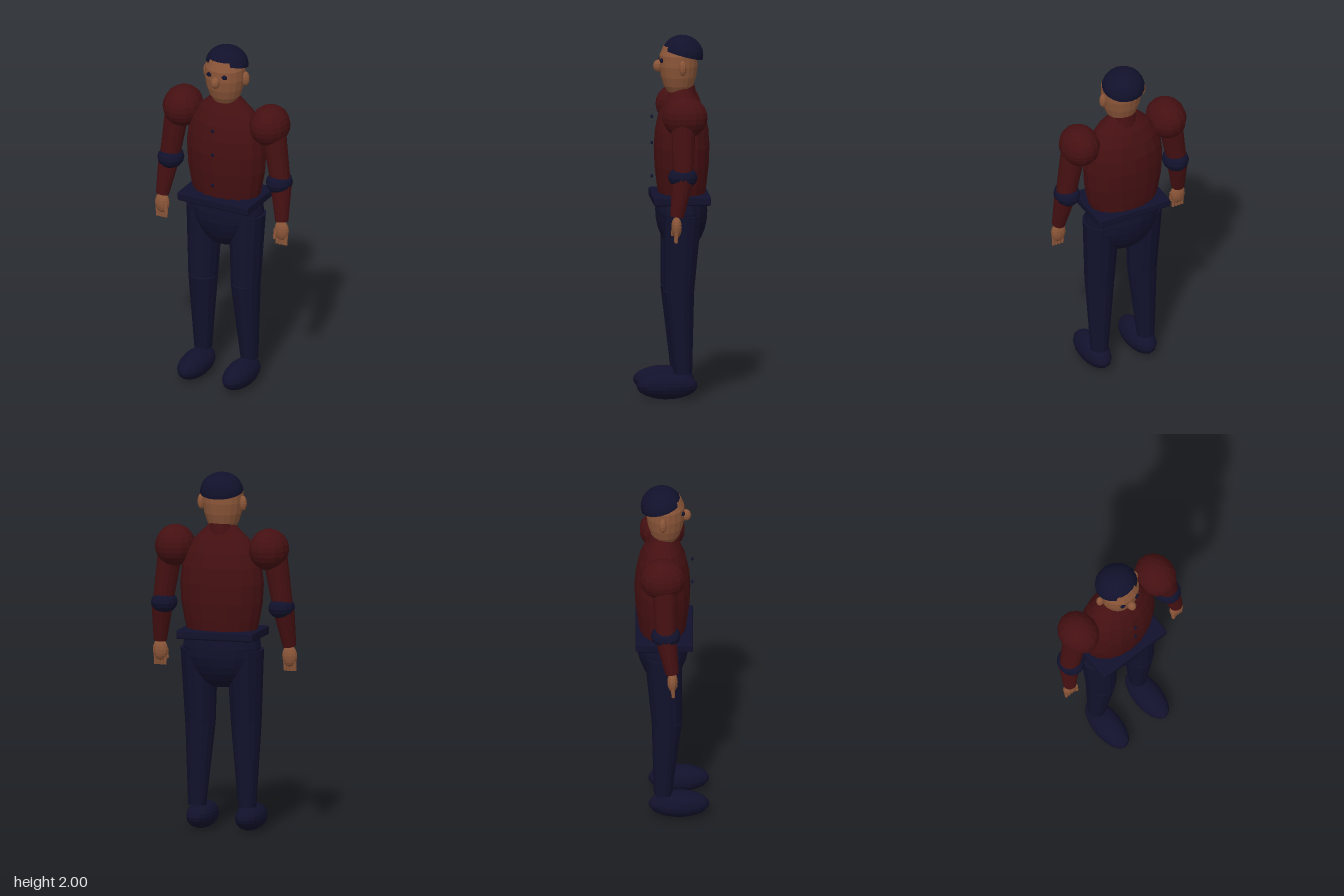
import * as THREE from 'three';
import { RoundedBoxGeometry } from 'three/addons/geometries/RoundedBoxGeometry.js';

const material = (name, color) => {
  const m = new THREE.MeshStandardMaterial({ color, flatShading: true });
  m.name = name;
  return m;
};

export function createModel() {
  const shirt = material('dark red cloth', 0x451012);
  const navy = material('navy cloth', 0x11112c);
  const skin = material('skin', 0x8a5538);
  const root = new THREE.Group();
  root.name = 'figure';

  const add = (name, geometry, mat, x = 0, y = 0, z = 0) => {
    const mesh = new THREE.Mesh(geometry, mat);
    mesh.name = name;
    mesh.position.set(x, y, z);
    root.add(mesh);
    return mesh;
  };
  const ball = (name, mat, pos, radii, w = 16, h = 12) => {
    const mesh = add(name, new THREE.SphereGeometry(1, w, h), mat, ...pos);
    mesh.scale.set(...radii);
    return mesh;
  };
  // Tapered round limb running from point a (radius ra) to point b (radius rb)
  const limb = (name, mat, a, b, ra, rb, sides = 14) => {
    const from = new THREE.Vector3(...a), to = new THREE.Vector3(...b);
    const dir = from.clone().sub(to);
    const mesh = add(name, new THREE.CylinderGeometry(ra, rb, dir.length(), sides), mat);
    mesh.position.copy(from).add(to).multiplyScalar(0.5);
    mesh.quaternion.setFromUnitVectors(new THREE.Vector3(0, 1, 0), dir.normalize());
    return mesh;
  };
  // Turned shape with an oval section; profile pairs are [radius, y]
  const turned = (name, mat, profile, z, depth) => {
    const points = profile.map(([r, y]) => new THREE.Vector2(r, y));
    const mesh = add(name, new THREE.LatheGeometry(points, 18), mat, 0, 0, z);
    mesh.scale.z = depth;
    return mesh;
  };

  // Torso, collar and buttons
  turned('torso', shirt, [[0, 1.09], [0.19, 1.09], [0.212, 1.18], [0.23, 1.28], [0.236, 1.39],
    [0.226, 1.48], [0.2, 1.56], [0.155, 1.63], [0.105, 1.68], [0.075, 1.71], [0, 1.71]], -0.052, 0.65);
  limb('collar', shirt, [0, 1.72, -0.06], [0, 1.66, -0.06], 0.064, 0.075, 16);
  limb('neck', skin, [0, 1.76, -0.055], [0, 1.66, -0.058], 0.06, 0.06, 16);
  for (const y of [1.55, 1.405, 1.22]) ball('button', navy, [0, y, 0.112], [0.01, 0.01, 0.008], 8, 6);

  // Head and hair
  turned('head', skin, [[0, 1.685], [0.066, 1.687], [0.087, 1.72], [0.104, 1.77], [0.114, 1.83],
    [0.113, 1.89], [0.09, 1.94], [0, 1.965]], -0.035, 0.93);
  ball('nose', skin, [0, 1.83, 0.077], [0.025, 0.034, 0.029], 10, 8);
  const hair = new THREE.Group();
  hair.name = 'hair';
  hair.position.set(0, 1.893, -0.058);
  hair.rotation.x = -0.27;
  const dome = new THREE.Mesh(new THREE.SphereGeometry(1, 20, 8, 0, Math.PI * 2, 0, Math.PI / 2), navy);
  dome.name = 'hairDome';
  dome.scale.set(0.12, 0.106, 0.114);
  const underside = new THREE.Mesh(new THREE.CircleGeometry(1, 20), navy);
  underside.name = 'hairUnderside';
  underside.rotation.x = Math.PI / 2;
  underside.scale.set(0.12, 0.114, 1);
  hair.add(dome, underside);
  root.add(hair);

  // Belt and hips
  add('belt', new RoundedBoxGeometry(0.44, 0.05, 0.315, 2, 0.01), navy, 0, 1.105, -0.042);
  ball('hips', navy, [0, 1.03, -0.05], [0.222, 0.23, 0.143], 18, 14);

  for (const s of [-1, 1]) {
    const side = s > 0 ? 'left' : 'right';

    // Face details
    ball(side + 'Eye', navy, [s * 0.047, 1.865, 0.061], [0.017, 0.013, 0.011], 10, 8);
    ball(side + 'Ear', skin, [s * 0.12, 1.83, -0.05], [0.022, 0.043, 0.021], 10, 8);

    // Puffed shoulder, sleeve and cuff
    ball(side + 'Shoulder', shirt, [s * 0.27, 1.58, -0.052], [0.11, 0.115, 0.126], 14, 12);
    limb(side + 'UpperArm', shirt, [s * 0.3, 1.55, -0.04], [s * 0.345, 1.26, -0.035], 0.069, 0.056);
    ball(side + 'ElbowBand', navy, [s * 0.338, 1.257, -0.035], [0.073, 0.062, 0.082], 14, 8);
    limb(side + 'Forearm', shirt, [s * 0.349, 1.25, -0.035], [s * 0.372, 1.04, 0], 0.06, 0.037);

    // Hand with four fingers and a thumb
    ball(side + 'Palm', skin, [s * 0.372, 0.985, 0.002], [0.043, 0.06, 0.029], 12, 10);
    for (let i = 0; i < 4; i++) {
      const x = s * (0.346 + i * 0.018);
      limb(side + 'Finger', skin, [x, 0.975, 0.002], [x, 0.902, 0.006], 0.012, 0.009, 8);
    }
    limb(side + 'Thumb', skin, [s * 0.342, 0.99, 0.015], [s * 0.338, 0.935, 0.022], 0.012, 0.009, 8);

    // Leg and shoe
    limb(side + 'Thigh', navy, [s * 0.132, 1.02, -0.048], [s * 0.132, 0.6, -0.028], 0.104, 0.084);
    limb(side + 'Shin', navy, [s * 0.132, 0.6, -0.028], [s * 0.144, 0.14, -0.05], 0.084, 0.05);
    ball(side + 'Shoe', navy, [s * 0.14, 0.075, 0.038], [0.08, 0.075, 0.168], 16, 12);
  }
  return root;
}
